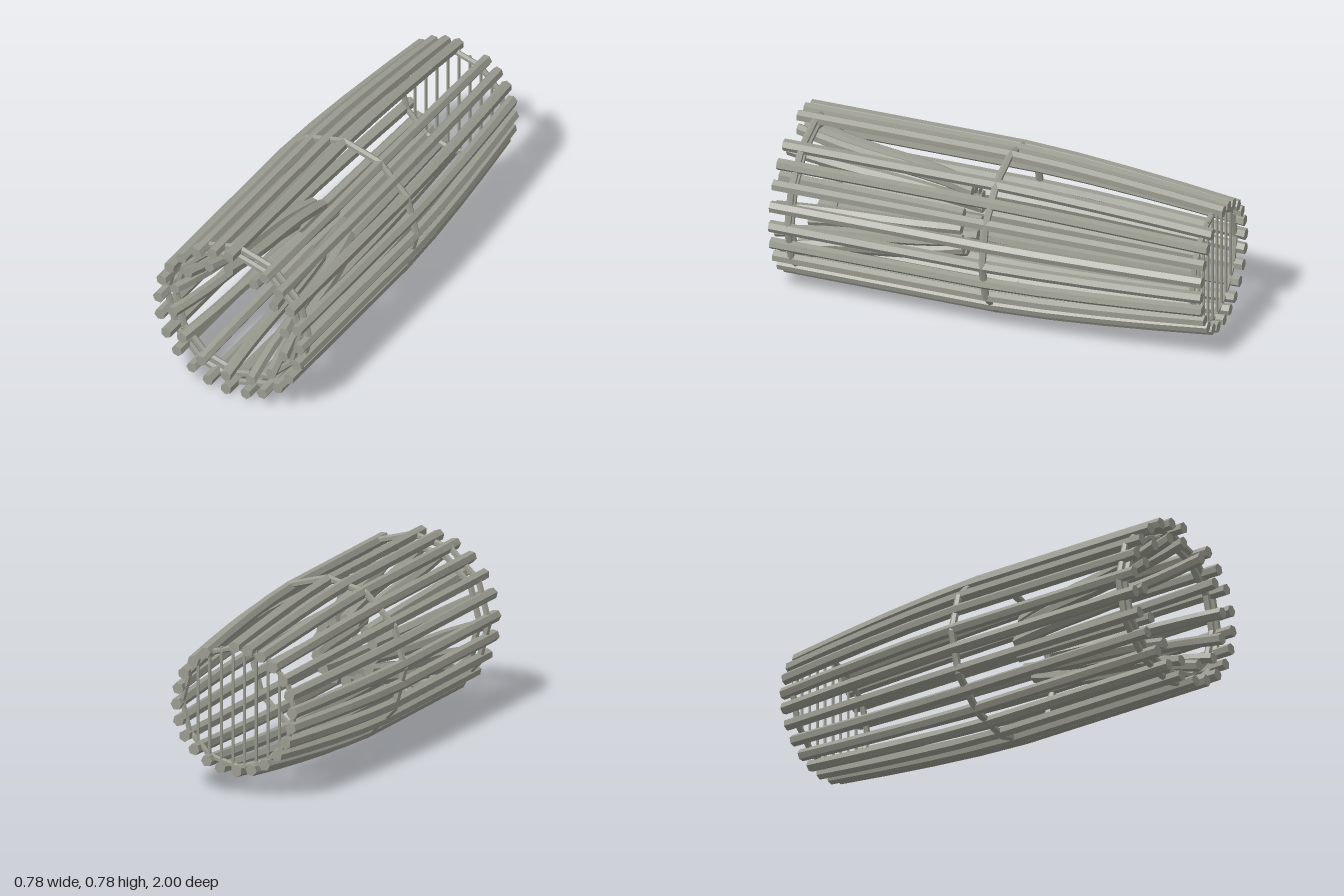
import * as THREE from 'three';

const CENTRE_Y = 0.388;

// Hexagonal rod along z whose distance from the axis follows radiusAt(z)
function rodGeometry(zBack, zFront, thickness, radiusAt) {
  const g = new THREE.CylinderGeometry(thickness, thickness, zFront - zBack, 6, 8);
  g.rotateX(Math.PI / 2);
  g.translate(0, 0, (zFront + zBack) / 2);
  const p = g.attributes.position;
  for (let i = 0; i < p.count; i++) p.setY(i, p.getY(i) + radiusAt(p.getZ(i)));
  g.computeVertexNormals();
  return g;
}

export function createModel() {
  const model = new THREE.Group();
  const wood = new THREE.MeshStandardMaterial({ color: 0x9a9b90, flatShading: true });
  wood.name = 'weathered wood';

  const add = (name, geometry, parent) => {
    const mesh = new THREE.Mesh(geometry, wood);
    mesh.name = name;
    parent.add(mesh);
    return mesh;
  };
  const group = (name) => {
    const g = new THREE.Group();
    g.name = name;
    g.position.y = CENTRE_Y;
    model.add(g);
    return g;
  };

  // Outer basket rods: straight at the front, tapering to the back
  const outer = group('outerRods');
  const outerRod = rodGeometry(-1, 1, 0.027, (z) => 0.36 - 0.08 * Math.pow(Math.max(0, -z), 1.4));
  const outerAngles = [0, 13.5, 27.2, 42, 57.4, 72, 88, 102.4, 117.6, 132.8, 148.4, 162.8,
    177.8, 194, 208.2, 224, 238.7, 253.8, 269, 284, 299.5, 314.7, 329.7];
  for (const a of outerAngles) {
    add('outerRod', outerRod, outer).rotation.z = THREE.MathUtils.degToRad(a);
  }

  // Entrance funnel rods leaning inward from the mouth
  const funnel = group('funnelRods');
  const funnelRod = rodGeometry(0.18, 1, 0.027, (z) => {
    const t = (1 - z) / 0.82;
    return 0.29 - 0.15 * t - 0.02 * Math.sin(t * Math.PI * 2) * 0.5;
  });
  const funnelAngles = [0, 20.2, 46.7, 72.2, 98, 124.5, 150.7, 177.2, 203, 228.7, 255, 280.5, 307.6, 333.6];
  for (const a of funnelAngles) {
    add('funnelRod', funnelRod, funnel).rotation.z = THREE.MathUtils.degToRad(a);
  }

  // Binding hoops: radius, tube thickness, z
  const hoops = group('hoops');
  const hoopSpecs = [
    ['frontHoop', 0.364, 0.016, 0.915],
    ['middleHoop', 0.371, 0.017, 0],
    ['backHoop', 0.272, 0.014, -0.95],
    ['funnelHoop', 0.318, 0.016, 0.915],
  ];
  for (const [name, radius, tube, z] of hoopSpecs) {
    add(name, new THREE.TorusGeometry(radius, tube, 6, 12), hoops).position.z = z;
  }

  // Vertical bars closing the back end
  const bars = group('backBars');
  for (let i = 0; i < 8; i++) {
    const x = -0.2 + i * 0.0563;
    const height = 2 * Math.sqrt(0.28 * 0.28 - x * x);
    add('backBar', new THREE.CylinderGeometry(0.007, 0.007, height, 6), bars).position.set(x, 0, -0.955);
  }

  return model;
}
